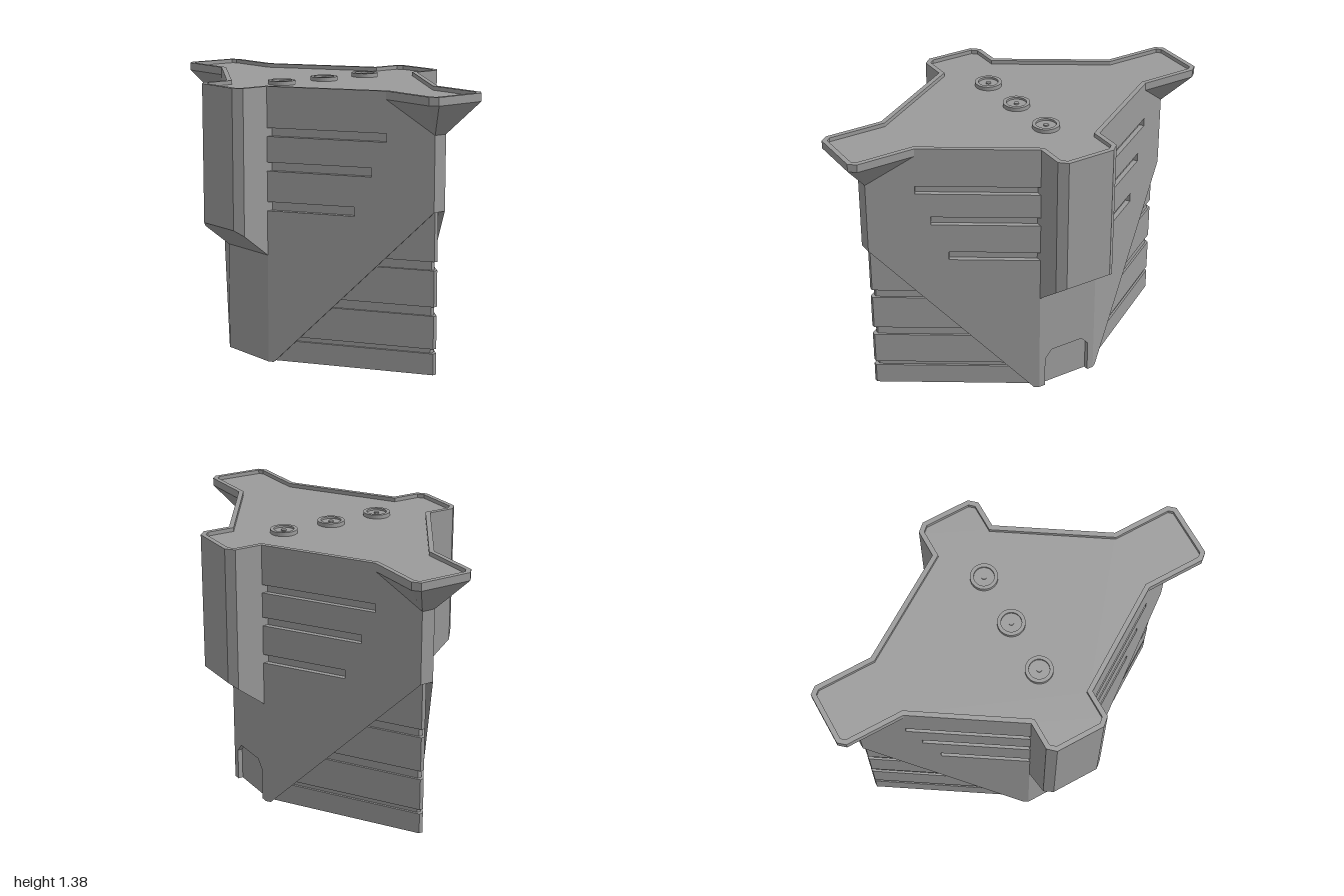
import * as THREE from 'three';
import { ConvexGeometry } from 'three/addons/geometries/ConvexGeometry.js';

const TOP = 1.34, FLOOR = 1.36, RIM = 1.38;
const material = new THREE.MeshStandardMaterial({ color: 0x9b9b9b, flatShading: true });

const toShape = pts => new THREE.Shape(pts.map(([x, y]) => new THREE.Vector2(x, y)));

// Repeat the points of one quadrant around both axes, counter-clockwise
function fourWay(q) {
  const r = [...q].reverse();
  return [...q, ...r.map(([x, z]) => [-x, z]), ...q.map(([x, z]) => [-x, -z]), ...r.map(([x, z]) => [x, -z])];
}

// Move a counter-clockwise outline inward by d with mitred corners
function inset(pts, d) {
  const n = pts.length;
  const normal = (a, b) => {
    const l = Math.hypot(b[0] - a[0], b[1] - a[1]);
    return [-(b[1] - a[1]) / l, (b[0] - a[0]) / l];
  };
  return pts.map((p, i) => {
    const a = normal(pts[(i + n - 1) % n], p), b = normal(p, pts[(i + 1) % n]);
    const k = d / (1 + a[0] * b[0] + a[1] * b[1]);
    return [p[0] + (a[0] + b[0]) * k, p[1] + (a[1] + b[1]) * k];
  });
}

// Horizontal slab between two heights
function slab(pts, y0, y1, hole) {
  const s = toShape(pts);
  if (hole) s.holes.push(toShape(hole));
  return new THREE.ExtrudeGeometry(s, { depth: y1 - y0, bevelEnabled: false }).rotateX(-Math.PI / 2).translate(0, y0, 0);
}

// Upright panel whose outer face lies on z = 0
const panel = (pts, depth) =>
  new THREE.ExtrudeGeometry(toShape(pts), { depth, bevelEnabled: false }).translate(0, 0, -depth);

const hull = pts => new ConvexGeometry(pts.map(p => new THREE.Vector3(...p)));

export function createModel() {
  const model = new THREE.Group();
  const add = (parent, name, geometry) => {
    const mesh = new THREE.Mesh(geometry, material);
    mesh.name = name;
    parent.add(mesh);
    return mesh;
  };

  // Core behind the armour panels
  const corePoints = [];
  for (const sx of [-1, 1]) for (const sz of [-1, 1]) {
    for (const [x, y, z] of [[0.158, 0, 0.465], [0.845, 0.82, 0.022], [0.845, TOP, 0.022], [0.158, TOP, 0.465]]) {
      corePoints.push([sx * x, y, sz * z]);
    }
  }
  add(model, 'core', hull(corePoints));

  // Lower side wedges, with thinner layers forming the grooves
  const levels = [0, 0.107, 0.13, 0.295, 0.34, 0.52, 0.563, 0.82];
  for (let i = 0; i < levels.length - 1; i++) {
    const x = i % 2 ? 0.83 : 0.85;
    const plan = fourWay([[x, 0.01], [0.17, 0.01 + (x - 0.17) * 0.645]]);
    add(model, i % 2 ? 'wedgeGroove' : 'wedgeLayer', slab(plan, levels[i], levels[i + 1]));
  }

  // Slotted diagonal panel: u runs from the pillar to the side tip
  const length = Math.hypot(0.705, 0.455), angle = Math.atan2(0.455, 0.705);
  const slots = [[1.178, 1.136, 0.602], [1.009, 0.965, 0.53], [0.813, 0.768, 0.446]];
  const diagonal = [[0, 0], [0.028, 0], [length, 0.81], [length, TOP], [0, TOP]];
  for (const [y1, y0, u] of slots) diagonal.push([0, y1], [u, y1], [u, y0], [0, y0]);

  // Front and back halves
  for (const back of [false, true]) {
    const half = new THREE.Group();
    half.name = back ? 'backHalf' : 'frontHalf';
    half.rotation.y = back ? Math.PI : 0;
    model.add(half);

    for (const s of [-1, 1]) {
      const mesh = add(half, 'diagonalPanel', panel(diagonal.map(([u, y]) => [s * u, y]), 0.034));
      mesh.position.set(s * 0.165, 0, 0.49);
      mesh.rotation.y = s * angle;
    }

    // Centre panel, with a chamfered recess at the foot of the back one
    const door = [[-0.13, 0], [-0.13, 0.165], [-0.09, 0.21], [0.09, 0.21], [0.13, 0.165], [0.13, 0]];
    const centre = [[-0.165, 0], ...(back ? door : []), [0.165, 0], [0.165, TOP], [-0.165, TOP]];
    add(half, 'centrePanel', panel(centre, 0.03)).position.z = 0.49;

    // Chamfered pillar with a sloping underside
    const pillar = [];
    for (const s of [-1, 1]) for (const [x, z] of [[0.165, 0.48], [0.165, 0.631], [0.125, 0.667]]) {
      pillar.push([s * x, TOP, z], [s * x, 0.545 + (z - 0.49) * 0.79, z]);
    }
    add(half, 'pillar', hull(pillar));
  }

  // Side tips and the tapered brackets under the arms
  for (const s of [-1, 1]) {
    add(model, 'sideTip', new THREE.BoxGeometry(0.025, TOP - 0.81, 0.07))
      .position.set(s * 0.8575, (TOP + 0.81) / 2, 0);
    const bracket = [];
    for (const t of [-1, 1]) {
      for (const [x, y, z] of [[1, TOP, 0.135], [0.965, TOP, 0.165], [0.668, TOP, 0.165], [0.87, 1.18, 0.035]]) {
        bracket.push([s * x, y, t * z]);
      }
    }
    add(model, 'armBracket', hull(bracket));
  }

  // Raised rim around a sunken deck
  const outline = fourWay([[1, 0.135], [0.965, 0.165], [0.668, 0.1654], [0.165, 0.49], [0.165, 0.631], [0.125, 0.667]]);
  add(model, 'rim', slab(outline, TOP, RIM, inset(outline, 0.024)));
  add(model, 'deck', slab(inset(outline, 0.012), TOP, FLOOR));

  // Three round caps with a sunken centre
  const profile = [[0.068, FLOOR], [0.068, RIM], [0.05, RIM], [0.05, 1.37], [0.013, 1.37], [0.013, 1.376], [0, 1.376]]
    .map(([r, y]) => new THREE.Vector2(r, y));
  for (const z of [-0.272, 0, 0.272]) {
    add(model, 'roundCap', new THREE.LatheGeometry(profile, 40)).position.z = z;
  }
  return model;
}
